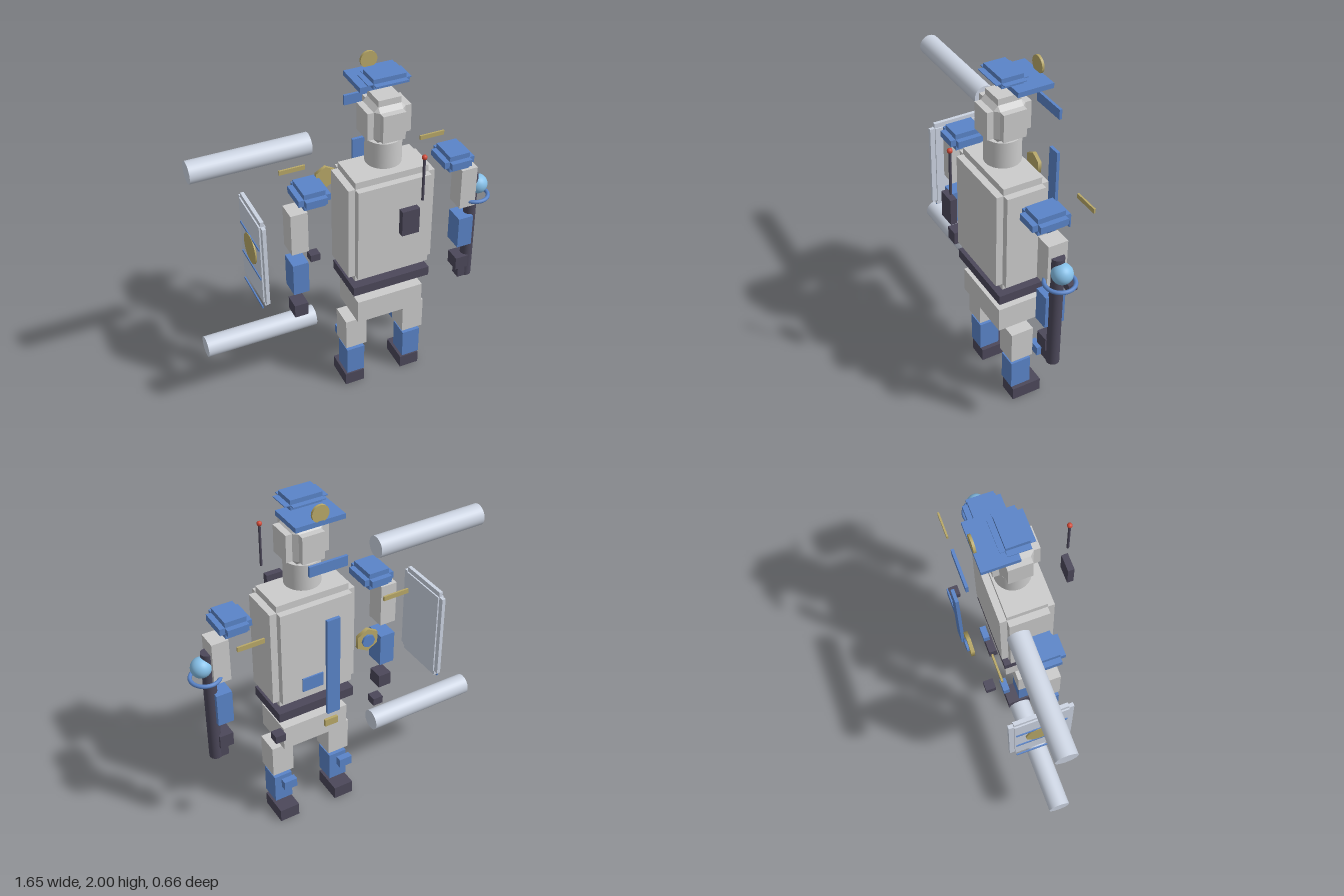
import * as THREE from 'three';
import { ConvexGeometry } from 'three/addons/geometries/ConvexGeometry.js';

const mat = (color) => new THREE.MeshStandardMaterial({ color });
const grey = mat(0xcccccc), blue = mat(0x5a84c8), dark = mat(0x4c485a), gold = mat(0xb8a868);
const pale = mat(0xccd4e2), sky = mat(0x86c0e8), red = mat(0xd04a38);
const CX = 0.172; // the figure's own centre line

export function createModel() {
  const model = new THREE.Group();

  const add = (name, geometry, material, x, y, z, parent = model) => {
    const mesh = new THREE.Mesh(geometry, material);
    mesh.name = name;
    mesh.position.set(x, y, z);
    parent.add(mesh);
    return mesh;
  };
  const box = (name, material, w, h, d, x, y, z, parent) =>
    add(name, new THREE.BoxGeometry(w, h, d), material, x, y, z, parent);
  const cyl = (name, material, r, len, x, y, z, sides = 32) =>
    add(name, new THREE.CylinderGeometry(r, r, len, sides), material, x, y, z);

  // Box with stepped edges: three crossing boxes, each full size along one axis
  const steppedBox = (name, material, w, h, d, r, x, y, z) => {
    const g = new THREE.Group();
    g.name = name;
    g.position.set(x, y, z);
    const inset = (v) => Math.abs(v - 2 * r);
    box(name + 'Wide', material, w, inset(h), inset(d), 0, 0, 0, g);
    box(name + 'Tall', material, inset(w), h, inset(d), 0, 0, 0, g);
    box(name + 'Deep', material, inset(w), inset(h), d, 0, 0, 0, g);
    model.add(g);
    return g;
  };

  // Cap with peak and badge
  steppedBox('capCrown', blue, 0.233, 0.053, 0.176, 0.029, CX, 1.955, -0.003);
  box('capPeak', blue, 0.27, 0.027, 0.195, CX + 0.003, 1.904, -0.101);
  cyl('capBadge', gold, 0.046, 0.013, CX + 0.003, 1.954, -0.192).rotation.x = Math.PI / 2;

  // Head with a chamfered core filling the stepped edges
  const head = steppedBox('head', grey, 0.24, 0.268, 0.243, 0.058, CX, 1.728, -0.003);
  const half = [0.062, 0.076, 0.063], corners = [];
  for (const sx of [-1, 1]) for (const sy of [-1, 1]) for (const sz of [-1, 1])
    for (let axis = 0; axis < 3; axis++) {
      const e = half.map((v, i) => v + (i === axis ? 0.024 : 0));
      corners.push(new THREE.Vector3(sx * e[0], sy * e[1], sz * e[2]));
    }
  add('headCore', new ConvexGeometry(corners), grey, 0, 0, 0, head);
  box('glasses', blue, 0.21, 0.056, 0.015, CX + 0.003, 1.708, -0.264);
  cyl('neck', grey, 0.096, 0.145, CX, 1.552, -0.003);

  // Torso, belt and hips
  steppedBox('torso', grey, 0.488, 0.632, 0.292, 0.038, CX, 1.136, -0.001);
  box('belt', dark, 0.45, 0.055, 0.272, CX, 0.767, -0.003);
  box('beltBuckle', gold, 0.075, 0.042, 0.015, CX + 0.003, 0.768, -0.288);
  box('hips', grey, 0.388, 0.143, 0.243, CX + 0.002, 0.6, -0.003);

  // Tie, name tag and chest badge
  box('tie', blue, 0.073, 0.582, 0.018, CX + 0.003, 1.14, -0.308);
  box('nameTag', blue, 0.117, 0.078, 0.008, 0.291, 1.09, -0.309);
  cyl('chestBadge', gold, 0.066, 0.02, -0.02, 1.235, -0.309, 6).rotation.x = Math.PI / 2;
  cyl('chestBadgeCentre', blue, 0.036, 0.014, -0.02, 1.235, -0.324, 8).rotation.x = Math.PI / 2;

  // Radio with aerial
  box('radio', dark, 0.096, 0.147, 0.035, CX + 0.005, 1.287, 0.298);
  cyl('aerial', dark, 0.007, 0.245, 0.235, 1.532, 0.318, 12);
  add('aerialTip', new THREE.SphereGeometry(0.014, 16, 12), red, 0.235, 1.66, 0.318);

  // Mirrored arms, legs and belt pouches
  for (const [side, s] of [['left', 1], ['right', -1]]) {
    const limb = (name, material, w, h, d, dx, y, z) =>
      box(side + name, material, w, h, d, CX + s * dx, y, z);
    steppedBox(side + 'Shoulder', blue, 0.175, 0.095, 0.21, 0.029, CX + s * 0.411, 1.387, -0.003);
    limb('Epaulette', gold, 0.146, 0.026, 0.01, 0.411, 1.383, -0.234);
    limb('UpperArm', grey, 0.094, 0.246, 0.108, 0.491, 1.188, -0.001);
    limb('Forearm', blue, 0.088, 0.193, 0.112, 0.491, 0.894, -0.003);
    limb('Hand', dark, 0.077, 0.079, 0.09, 0.491, 0.668, -0.003);
    limb('Pouch', dark, 0.057, 0.044, 0.055, 0.294, 0.768, -0.253);
    limb('Thigh', grey, 0.126, 0.194, 0.13, 0.176, 0.402, -0.002);
    limb('KneePad', blue, 0.077, 0.055, 0.037, 0.176, 0.278, -0.132);
    limb('Shin', blue, 0.106, 0.176, 0.117, 0.176, 0.188, -0.003);
    limb('Shoe', dark, 0.116, 0.078, 0.173, 0.176, 0.039, -0.042);
  }

  // Baton with side grip, glowing ball and ring
  cyl('baton', dark, 0.035, 0.68, 0.712, 0.896, 0);
  box('batonGrip', dark, 0.055, 0.078, 0.06, 0.677, 0.596, 0);
  add('batonBall', new THREE.SphereGeometry(0.055, 32, 20), sky, 0.752, 1.16, -0.003);
  add('batonRing', new THREE.TorusGeometry(0.077, 0.011, 12, 40), blue, 0.735, 1.093, -0.004)
    .rotation.x = Math.PI / 2;

  // Shield with emblem disc and stripes on its outer face
  steppedBox('shield', pale, 0.036, 0.542, 0.345, 0.028, -0.512, 1.04, -0.108);
  cyl('shieldDisc', gold, 0.086, 0.01, -0.533, 1.055, -0.108).rotation.z = Math.PI / 2;
  for (const y of [0.755, 0.945, 1.135])
    box('shieldStripe', blue, 0.007, 0.012, 0.275, -0.532, y, -0.108);

  // Pair of long tubes
  for (const [name, y] of [['upperTube', 1.61], ['lowerTube', 0.472]])
    cyl(name, pale, 0.058, 0.633, -0.511, y, -0.106).rotation.z = Math.PI / 2;

  return model;
}
